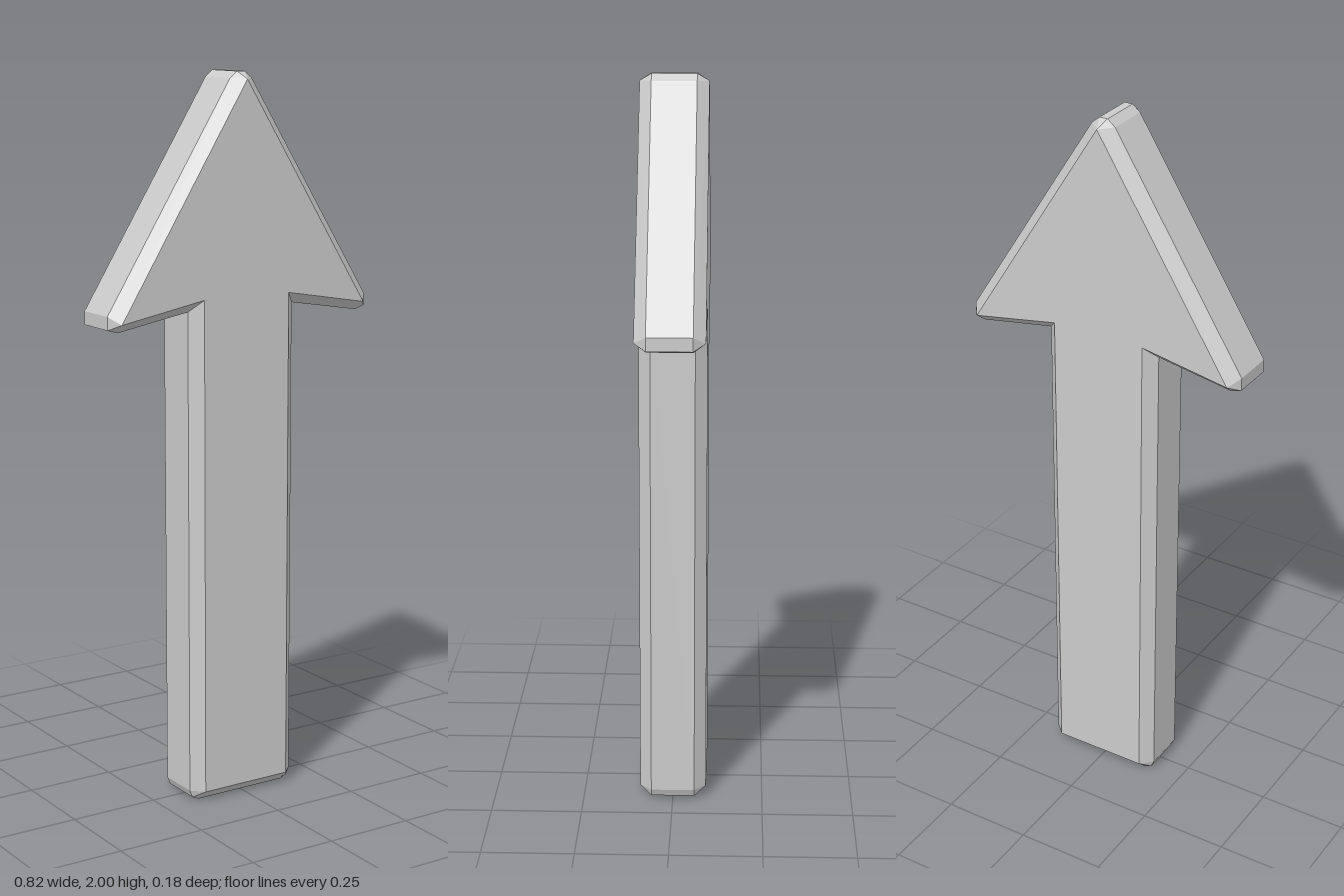
import * as THREE from 'three';

const FACE_Z = 0.092; // flat front and back faces
const RIM_Z = 0.06; // edge of the outer rim

// Right half of the outline, from the bottom up: face corner, then the rim points around it
const HALF = [
  { face: [0.135, 0.03], rim: [[0.138, 0], [0.158, 0.009], [0.167, 0.03]] },
  { face: [0.135, 1.408], rim: [[0.167, 1.375]] },
  { face: [0.387, 1.363], rim: [[0.382, 1.338], [0.412, 1.347], [0.412, 1.383]] },
];
const TIP = { face: [0, 1.98], rim: [[0.034, 1.982], [0.012, 2], [-0.012, 2], [-0.034, 1.982]] };

function bevelledOutline() {
  const flip = ([x, y]) => [-x, y];
  const mirrored = HALF.map((c) => ({ face: flip(c.face), rim: c.rim.map(flip).reverse() })).reverse();
  return [...HALF, TIP, ...mirrored];
}

function arrowGeometry() {
  const corners = bevelledOutline();
  const rim = corners.flatMap((c) => c.rim.map((p) => ({ p, face: c.face })));
  const positions = [];
  const tri = (...pts) => pts.forEach((p) => positions.push(...p));
  const at = ([x, y], z) => [x, y, z];

  // Flat faces
  const face = corners.map((c) => new THREE.Vector2(...c.face));
  for (const [a, b, c] of THREE.ShapeUtils.triangulateShape(face, [])) {
    const [A, B, C] = [a, b, c].map((i) => face[i].toArray());
    tri(at(A, FACE_Z), at(B, FACE_Z), at(C, FACE_Z));
    tri(at(A, -FACE_Z), at(C, -FACE_Z), at(B, -FACE_Z));
  }

  // Rim wall and the bevels on both sides of it
  rim.forEach((a, i) => {
    const b = rim[(i + 1) % rim.length];
    const [a1, b1, a0, b0] = [at(a.p, RIM_Z), at(b.p, RIM_Z), at(a.p, -RIM_Z), at(b.p, -RIM_Z)];
    tri(a0, b0, b1);
    tri(a0, b1, a1);
    tri(a1, b1, at(b.face, FACE_Z));
    tri(b0, a0, at(b.face, -FACE_Z));
    if (a.face !== b.face) {
      tri(a1, at(b.face, FACE_Z), at(a.face, FACE_Z));
      tri(a0, at(a.face, -FACE_Z), at(b.face, -FACE_Z));
    }
  });

  const geometry = new THREE.BufferGeometry();
  geometry.setAttribute('position', new THREE.Float32BufferAttribute(positions, 3));
  geometry.computeVertexNormals();
  return geometry;
}

export function createModel() {
  const group = new THREE.Group();
  group.name = 'arrowSign';
  const arrow = new THREE.Mesh(
    arrowGeometry(),
    new THREE.MeshStandardMaterial({ color: 0xcccccc, flatShading: true })
  );
  arrow.name = 'arrow';
  group.add(arrow);
  return group;
}
